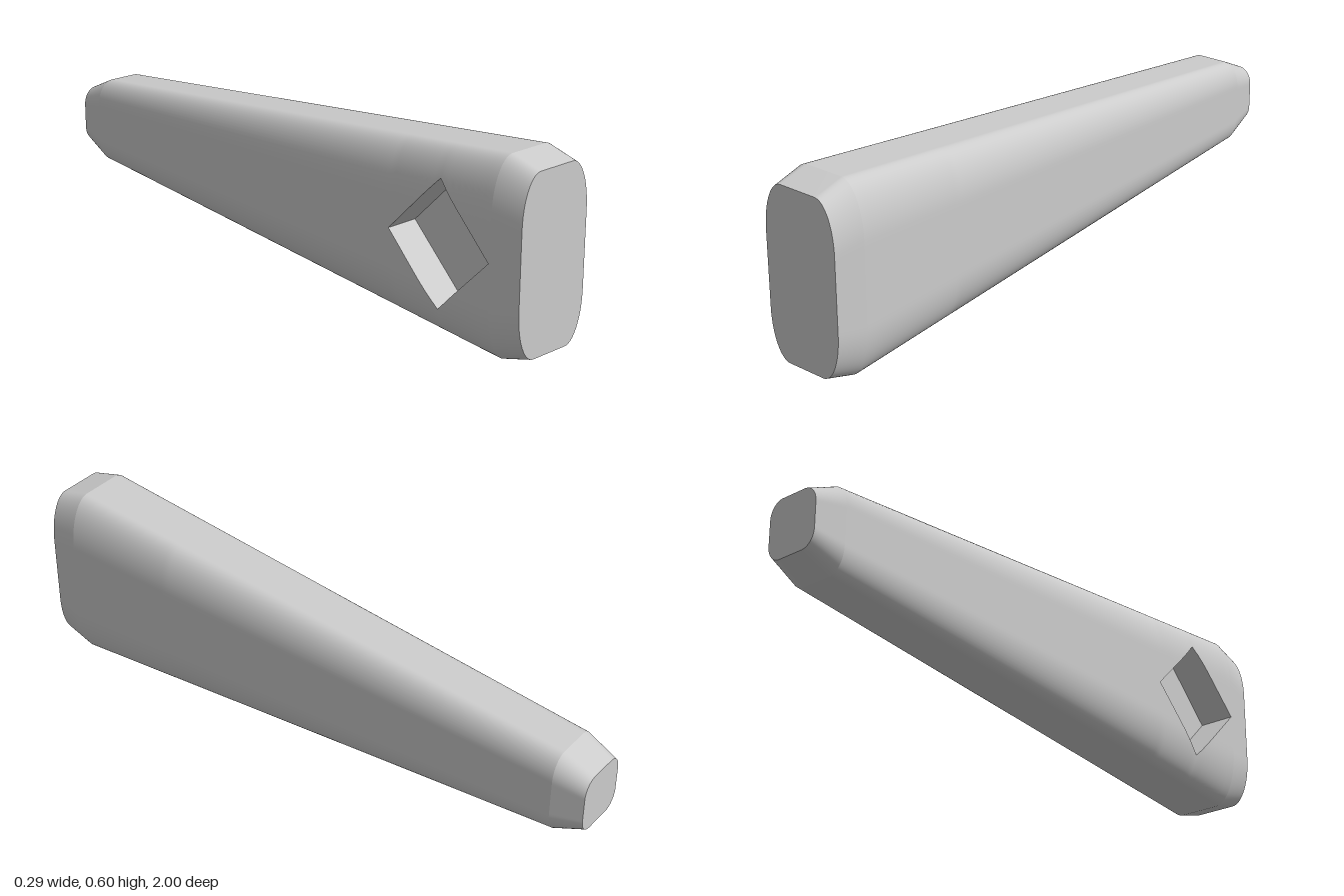
import * as THREE from 'three';

const CY = 0.3025; // height of the long axis
const ROWS = 24;
// Sections along z: half width, half height, half flat top, half flat side
const SECTIONS = [
  { z: -1, w: 0.09, h: 0.095, fx: 0.043, fy: 0.04 },
  { z: -0.9, w: 0.106, h: 0.14, fx: 0.048, fy: 0.06 },
  { z: 0.9, w: 0.147, h: 0.3, fx: 0.067, fy: 0.127 },
  { z: 1, w: 0.135, h: 0.272, fx: 0.067, fy: 0.118 },
];
// Diamond pocket in the -x side
const POCKET = { z: 0.7, r: 0.195, floor: -0.028 };

function sectionAt(z) {
  let i = 0;
  while (i < 2 && z > SECTIONS[i + 1].z) i++;
  const a = SECTIONS[i], b = SECTIONS[i + 1], t = (z - a.z) / (b.z - a.z);
  const mix = (k) => a[k] + (b[k] - a[k]) * t;
  return { w: mix('w'), h: mix('h'), fx: mix('fx'), fy: mix('fy') };
}

// Half width of a section at height y: flat side, then elliptical corner
function widthAt(s, y) {
  const t = Math.min(1, Math.max(0, (y - s.fy) / (s.h - s.fy)));
  return s.fx + (s.w - s.fx) * Math.sqrt(1 - t * t);
}

const pocketHalf = (z) => Math.max(0, POCKET.r - Math.abs(z - POCKET.z));

// One quarter of a section, from the side (or pocket edge) up to the top centre
function quarter(z, y0) {
  const s = sectionAt(z), pts = [];
  for (let k = 0; k <= ROWS; k++) {
    const y = y0 + (s.h - y0) * Math.sin((k / ROWS) * Math.PI / 2);
    pts.push([k === ROWS ? s.fx : widthAt(s, y), y, z]);
  }
  pts.push([0, s.h, z]);
  return pts;
}

// Surface through columns of points
function grid(columns, flip) {
  const n = columns[0].length, index = [];
  for (let i = 0; i < columns.length - 1; i++) {
    for (let j = 0; j < n - 1; j++) {
      const a = i * n + j, b = a + 1, c = a + n, d = c + 1;
      if (flip) index.push(a, c, b, b, c, d);
      else index.push(a, b, c, b, d, c);
    }
  }
  const g = new THREE.BufferGeometry();
  g.setAttribute('position', new THREE.Float32BufferAttribute(columns.flat(2), 3));
  g.setIndex(index);
  g.computeVertexNormals();
  return g;
}

export function createModel() {
  const model = new THREE.Group();
  const smooth = new THREE.MeshStandardMaterial({ color: 0xcccccc });
  const flat = new THREE.MeshStandardMaterial({ color: 0xcccccc, flatShading: true });
  const add = (name, geometry, material) => {
    const mesh = new THREE.Mesh(geometry, material);
    mesh.name = name;
    mesh.position.y = CY;
    model.add(mesh);
    return mesh;
  };

  // Columns across the pocket, with one at its centre
  const pocketZ = [];
  for (let i = 0; i <= 16; i++) pocketZ.push(POCKET.z + POCKET.r * (i / 8 - 1));

  // Tapered body and its two end bevels, each in four mirrored quarters
  const zones = [
    ['backBevel', [-1, -0.9]],
    ['taperedBody', [-0.9, ...pocketZ, 0.9]],
    ['frontBevel', [0.9, 1]],
  ];
  for (const [name, zs] of zones) {
    for (const sx of [1, -1]) {
      for (const sy of [1, -1]) {
        const columns = zs.map((z) =>
          quarter(z, sx < 0 ? pocketHalf(z) : 0).map(([x, y, pz]) => [sx * x, sy * y, pz]));
        add(name, grid(columns, sx * sy < 0), smooth);
      }
    }
  }

  // Flat end caps
  for (const end of [1, -1]) {
    const q = quarter(end, 0).slice(0, -1);
    const back = q.slice().reverse();
    const outline = [
      ...q.map(([x, y]) => [x, y]),
      ...back.map(([x, y]) => [-x, y]),
      ...q.slice(1).map(([x, y]) => [-x, -y]),
      ...back.slice(0, -1).map(([x, y]) => [x, -y]),
    ].map(([x, y]) => new THREE.Vector2(x, y));
    const cap = add(end > 0 ? 'frontCap' : 'backCap',
      new THREE.ShapeGeometry(new THREE.Shape(outline)), flat);
    cap.position.z = end;
    if (end < 0) cap.rotation.y = Math.PI;
  }

  // Pocket walls, from the body surface in to the floor
  for (const sy of [1, -1]) {
    const columns = pocketZ.map((z) => {
      const y = pocketHalf(z);
      return [[-widthAt(sectionAt(z), y), sy * y, z], [POCKET.floor, sy * y, z]];
    });
    add('pocketWall', grid(columns, sy < 0), flat);
  }

  // Pocket floor
  const floor = add('pocketFloor', new THREE.CircleGeometry(POCKET.r, 4), flat);
  floor.rotation.y = -Math.PI / 2;
  floor.position.set(POCKET.floor, CY, POCKET.z);

  return model;
}
